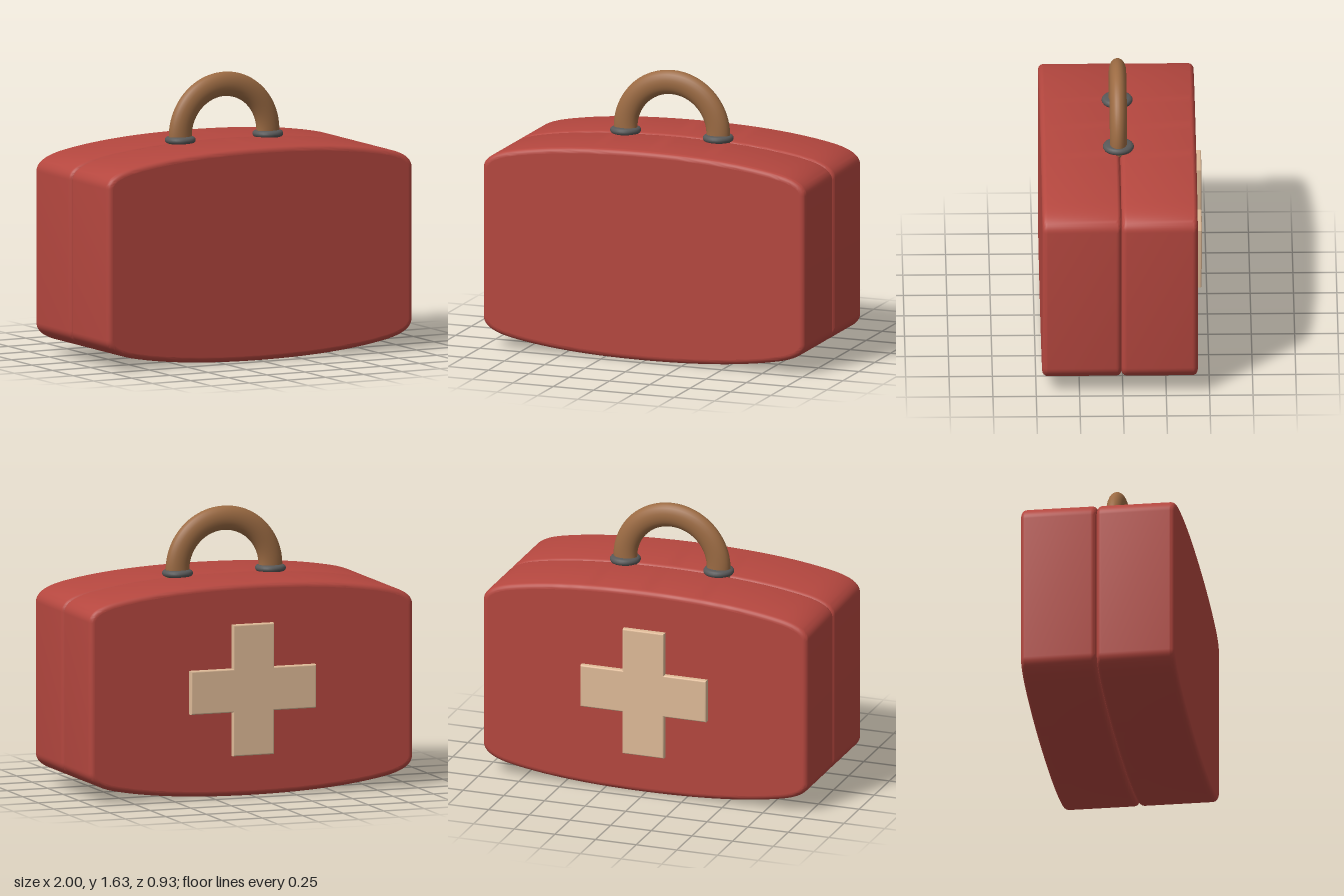
import * as THREE from 'three';
import { toCreasedNormals } from 'three/addons/utils/BufferGeometryUtils.js';

const red = new THREE.MeshStandardMaterial({ color: 0xb5473f });
const brown = new THREE.MeshStandardMaterial({ color: 0x9c6b43 });
const grey = new THREE.MeshStandardMaterial({ color: 0x585858 });
const cream = new THREE.MeshStandardMaterial({ color: 0xdfbb98 });

function add(parent, name, geometry, material) {
  const mesh = new THREE.Mesh(geometry, material);
  mesh.name = name;
  parent.add(mesh);
  return mesh;
}

// Shape extruded from z0 to z1 with rounded edges that stay inside the outline
function roundedSlab(shape, z0, z1, bevel, segments, crease) {
  const raw = new THREE.ExtrudeGeometry(shape, {
    depth: z1 - z0 - 2 * bevel, bevelThickness: bevel, bevelSize: bevel,
    bevelOffset: -bevel, bevelSegments: segments, curveSegments: 14,
  });
  raw.translate(0, 0, z0 + bevel);
  const geometry = toCreasedNormals(raw, crease);
  // Keep the flat end faces perfectly flat-shaded
  const p = geometry.attributes.position, n = geometry.attributes.normal;
  for (let i = 0; i < p.count; i += 3) {
    for (const z of [z0, z1]) {
      if ([0, 1, 2].every((k) => Math.abs(p.getZ(i + k) - z) < 1e-4)) {
        for (let k = 0; k < 3; k++) n.setXYZ(i + k, 0, 0, z === z0 ? -1 : 1);
      }
    }
  }
  return geometry;
}

// Case outline: straight sides, soft corners, bowed top and bottom
function caseShape() {
  const s = new THREE.Shape();
  s.moveTo(1, 0.18);
  s.lineTo(1, 1.06);
  s.quadraticCurveTo(1, 1.14, 0.83, 1.175);
  s.quadraticCurveTo(0.51, 1.24, 0, 1.24);
  s.quadraticCurveTo(-0.51, 1.24, -0.83, 1.175);
  s.quadraticCurveTo(-1, 1.14, -1, 1.06);
  s.lineTo(-1, 0.18);
  s.quadraticCurveTo(-1, 0.1, -0.83, 0.065);
  s.quadraticCurveTo(-0.51, 0, 0, 0);
  s.quadraticCurveTo(0.51, 0, 0.83, 0.065);
  s.quadraticCurveTo(1, 0.1, 1, 0.18);
  return s;
}

// Plus-shaped outline with arm half-width a and half-lengths w, h
function plusShape(a, w, h) {
  return new THREE.Shape([
    [a, -h], [a, -a], [w, -a], [w, a], [a, a], [a, h],
    [-a, h], [-a, a], [-w, a], [-w, -a], [-a, -a], [-a, -h],
  ].map(([x, y]) => new THREE.Vector2(x, y)));
}

export function createModel() {
  const model = new THREE.Group();
  model.name = 'medicalCase';

  // Two case halves meeting in a grooved seam
  add(model, 'frontHalf', roundedSlab(caseShape(), 0.008, 0.465, 0.032, 6, 0.6), red);
  add(model, 'backHalf', roundedSlab(caseShape(), -0.432, 0.008, 0.032, 6, 0.6), red);

  // Raised cross on the back
  add(model, 'cross', roundedSlab(plusShape(0.127, 0.387, 0.383), -0.465, -0.415, 0.008, 3, 0.6), cream)
    .position.y = 0.622;

  // Arched handle with an oval section and short legs into the mounts
  const handle = new THREE.Group();
  handle.name = 'handle';
  handle.position.set(0, 1.27, 0.017);
  model.add(handle);
  const flat = 0.7;
  add(handle, 'handleArch', new THREE.TorusGeometry(0.287, 0.071, 24, 48, Math.PI), brown).scale.z = flat;

  const mountProfile = [[0, -0.06], [0.06, -0.06], [0.068, -0.04], [0.083, -0.034], [0.089, -0.024],
    [0.089, -0.014], [0.083, -0.005], [0.07, 0], [0, 0]].map(([x, y]) => new THREE.Vector2(x, y));
  for (const [side, x] of [['left', 0.287], ['right', -0.287]]) {
    const leg = add(handle, side + 'HandleLeg', new THREE.CylinderGeometry(0.071, 0.071, 0.05, 24), brown);
    leg.position.set(x, -0.025, 0);
    leg.scale.z = flat;
    const mount = toCreasedNormals(new THREE.LatheGeometry(mountProfile, 32), 0.9);
    add(handle, side + 'HandleMount', mount, grey).position.x = x;
  }
  return model;
}
